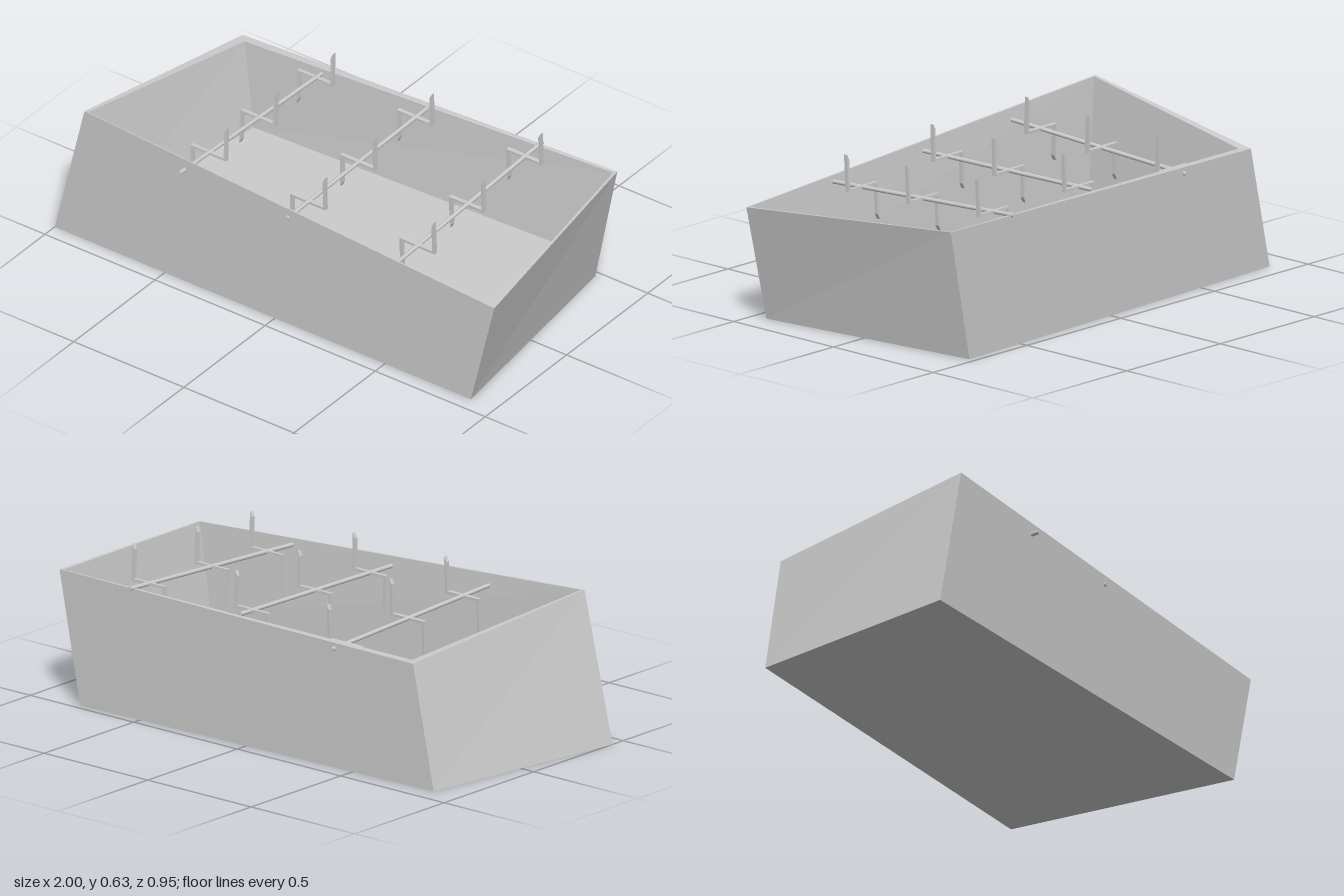
import * as THREE from 'three';

const material = new THREE.MeshStandardMaterial({ color: 0xcccccc });

// Hollow shell lofted through four-corner loops: outside up, over the rim, inside down
function loftGeometry(loops) {
  const pos = [];
  const tri = (...pts) => pts.forEach((p) => pos.push(...p));
  for (let k = 0; k < loops.length - 1; k++) {
    const a = loops[k], b = loops[k + 1];
    for (let i = 0; i < 4; i++) {
      const j = (i + 1) % 4;
      tri(a[i], a[j], b[j]);
      tri(a[i], b[j], b[i]);
    }
  }
  const first = loops[0], last = loops[loops.length - 1];
  tri(first[0], first[2], first[1], first[0], first[3], first[2]);
  tri(last[0], last[1], last[2], last[0], last[2], last[3]);
  const geo = new THREE.BufferGeometry();
  geo.setAttribute('position', new THREE.Float32BufferAttribute(pos, 3));
  geo.computeVertexNormals();
  return geo;
}

// Z-shaped crank: one sharpened blade up, the other down
function crankGeometry() {
  const t = 0.005, end = 0.08, tall = 0.137;
  const half = [
    [end - 2 * t, t], [end - 2 * t, tall - 0.02], [end, tall], [end, -t],
  ];
  // The second half is the first turned by 180 degrees; reversed ends give one closed outline
  const outline = [...half, ...half.map(([x, y]) => [-x, -y])];
  const shape = new THREE.Shape(outline.map(([x, y]) => new THREE.Vector2(x, y)));
  const geo = new THREE.ExtrudeGeometry(shape, { depth: 0.016, bevelEnabled: false });
  return geo.translate(0, 0, -0.008);
}

export function createModel() {
  const model = new THREE.Group();
  model.name = 'trough';

  // Leaning trough; corners run front -x, front +x, back +x, back -x
  const outerBottom = [[-1, 0, 0.44], [0.89, 0, 0.44], [0.78, 0, -0.475], [-0.88, 0, -0.42]];
  const outerRim = [[-0.865, 0.565, 0.44], [0.997, 0.445, 0.44], [0.88, 0.502, -0.475], [-0.78, 0.468, -0.42]];
  const innerRim = [[-0.852, 0.563, 0.434], [0.987, 0.446, 0.434], [0.87, 0.5, -0.463], [-0.748, 0.469, -0.388]];
  const innerFloor = [[-0.79, 0.12, 0.402], [0.91, 0.12, 0.402], [0.8, 0.12, -0.425], [-0.695, 0.12, -0.37]];
  const tub = new THREE.Mesh(loftGeometry([outerBottom, outerRim, innerRim, innerFloor]), material);
  tub.name = 'tub';
  model.add(tub);

  // Cross rods, each carrying three cranks
  const crankGeo = crankGeometry();
  const rods = [
    { x: -0.41, front: [0.492, 0.472], back: [0.453, -0.445], cranks: [0.288, -0.018, -0.368] },
    { x: 0.06, front: [0.468, 0.448], back: [0.484, -0.415], cranks: [0.312, 0.005, -0.345] },
    { x: 0.54, front: [0.45, 0.44], back: [0.497, -0.475], cranks: [0.29, -0.015, -0.368] },
  ];
  rods.forEach(({ x, front: [yF, zF], back: [yB, zB], cranks }, i) => {
    const assembly = new THREE.Group();
    assembly.name = `rodAssembly${i + 1}`;
    const midZ = (zF + zB) / 2;
    assembly.position.set(x, (yF + yB) / 2, midZ);
    assembly.rotation.x = -Math.atan2(yF - yB, zF - zB);

    const length = Math.hypot(yF - yB, zF - zB);
    const rodGeo = new THREE.CylinderGeometry(0.008, 0.008, length, 16).rotateX(Math.PI / 2);
    const rod = new THREE.Mesh(rodGeo, material);
    rod.name = 'rod';
    assembly.add(rod);

    for (const z of cranks) {
      const crank = new THREE.Mesh(crankGeo, material);
      crank.name = 'crank';
      crank.position.z = z - midZ;
      assembly.add(crank);
    }
    model.add(assembly);
  });
  return model;
}
